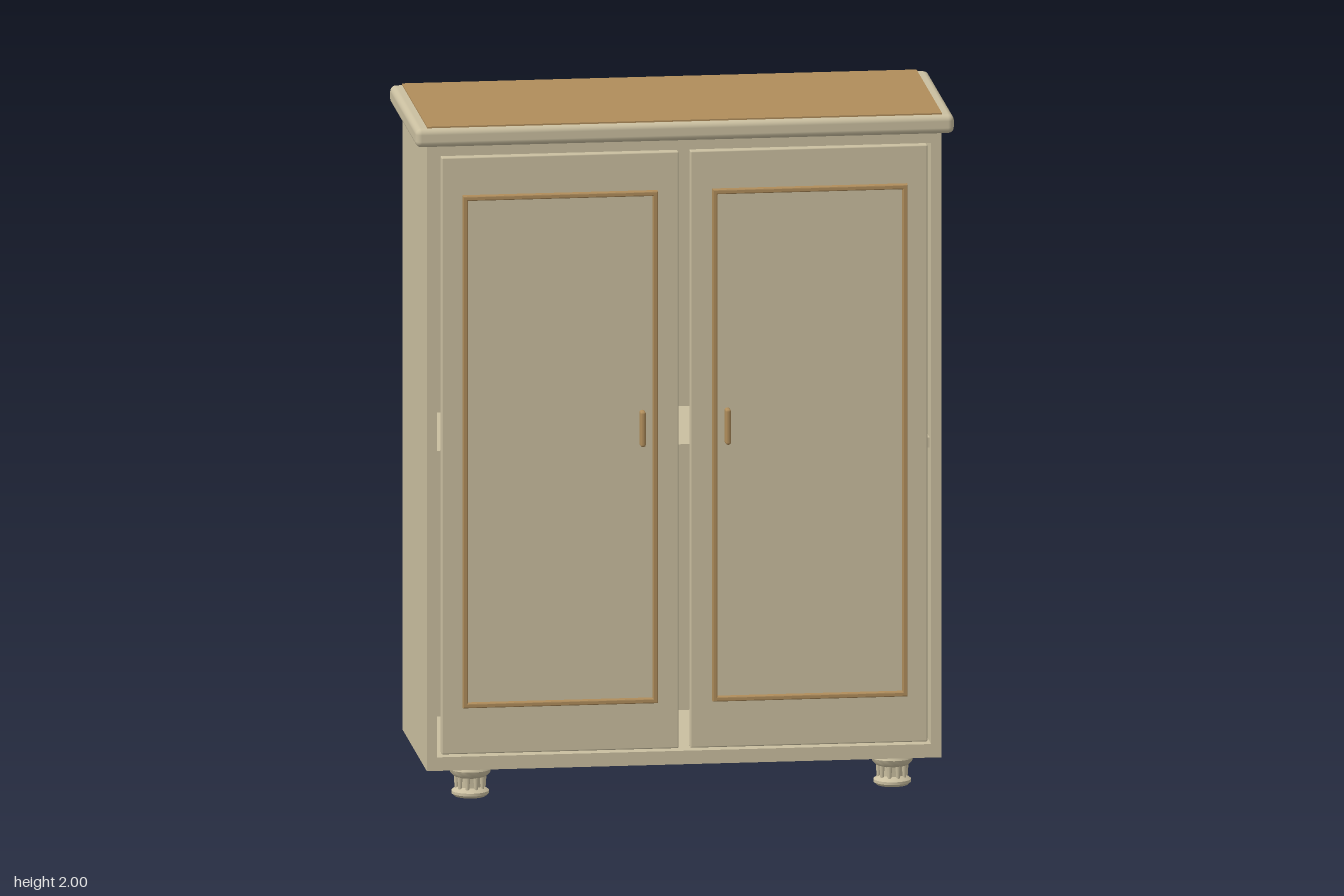
import * as THREE from 'three';
import { RoundedBoxGeometry } from 'three/addons/geometries/RoundedBoxGeometry.js';
import { toCreasedNormals } from 'three/addons/utils/BufferGeometryUtils.js';

export function createModel() {
  const cream = new THREE.MeshStandardMaterial({ color: 0xcabfa0 });
  cream.name = 'creamPaint';
  const wood = new THREE.MeshStandardMaterial({ color: 0xb08d5b });
  wood.name = 'warmWood';

  const root = new THREE.Group();
  root.name = 'cabinet';

  const add = (parent, name, geometry, material) => {
    const mesh = new THREE.Mesh(geometry, material);
    mesh.name = name;
    parent.add(mesh);
    return mesh;
  };
  // Box given by its limits on each axis, with optional rounded edges
  const block = (parent, name, material, [x0, x1], [y0, y1], [z0, z1], radius = 0) => {
    const size = [x1 - x0, y1 - y0, z1 - z0];
    const geometry = radius
      ? new RoundedBoxGeometry(...size, 3, radius)
      : new THREE.BoxGeometry(...size);
    const mesh = add(parent, name, geometry, material);
    mesh.position.set((x0 + x1) / 2, (y0 + y1) / 2, (z0 + z1) / 2);
    return mesh;
  };

  // Hollow carcass
  const carcass = new THREE.Group();
  carcass.name = 'carcass';
  root.add(carcass);
  const depth = [-0.29, 0.275];
  block(carcass, 'leftSide', cream, [0.72, 0.75], [0.13, 1.91], depth);
  block(carcass, 'rightSide', cream, [-0.75, -0.72], [0.13, 1.91], depth);
  block(carcass, 'bottomPanel', cream, [-0.75, 0.75], [0.09, 0.13], depth);
  block(carcass, 'topPanel', cream, [-0.75, 0.75], [1.91, 1.95], depth);
  block(carcass, 'backPanel', cream, [-0.72, 0.72], [0.13, 1.91], [-0.29, -0.27]);
  block(carcass, 'shelf', cream, [-0.72, 0.72], [1.0, 1.03], [-0.27, 0.24]);

  // Overhanging rounded cornice with a wooden top inlay
  block(root, 'cornice', cream, [-0.785, 0.785], [1.94, 1.996], [-0.315, 0.3], 0.018);
  block(root, 'topInlay', wood, [-0.75, 0.75], [1.992, 2.0], [-0.305, 0.285]);

  // Rectangular ring for the moulding on each door
  const rectangle = (target, w, h) => {
    target.moveTo(-w / 2, -h / 2);
    target.lineTo(w / 2, -h / 2);
    target.lineTo(w / 2, h / 2);
    target.lineTo(-w / 2, h / 2);
    target.closePath();
    return target;
  };
  const ring = rectangle(new THREE.Shape(), 0.562, 1.51);
  ring.holes.push(rectangle(new THREE.Path(), 0.546, 1.494));
  const mouldingGeometry = new THREE.ExtrudeGeometry(ring, {
    depth: 0.018, bevelThickness: 0.003, bevelSize: 0.003, bevelSegments: 2,
  });

  // Doors with moulding and handle
  for (const side of [-1, 1]) {
    const door = new THREE.Group();
    door.name = side > 0 ? 'leftDoor' : 'rightDoor';
    root.add(door);
    const span = (a, b) => (side > 0 ? [a, b] : [-b, -a]);
    block(door, 'doorPanel', cream, span(0.017, 0.708), [0.14, 1.907], [0.255, 0.286], 0.004);
    const moulding = add(door, 'doorMoulding', mouldingGeometry, wood);
    moulding.position.set(side * 0.364, 1.037, 0.284);
    block(door, 'handle', wood, span(0.116, 0.132), [1.04, 1.146], [0.282, 0.316], 0.007);
  }

  // Turned feet with ribs around the neck
  const profile = [
    [0, 0], [0.046, 0], [0.055, 0.008], [0.055, 0.016], [0.046, 0.023],
    [0.036, 0.028], [0.036, 0.056], [0.048, 0.06], [0.058, 0.07],
    [0.061, 0.08], [0.056, 0.091], [0, 0.091],
  ].map(([x, y]) => new THREE.Vector2(x, y));
  const footGeometry = toCreasedNormals(new THREE.LatheGeometry(profile, 24), 0.7);
  const ribGeometry = new THREE.CylinderGeometry(0.008, 0.005, 0.042, 8);
  for (const x of [-0.615, 0.615]) {
    for (const z of [-0.217, 0.205]) {
      const foot = new THREE.Group();
      foot.name = (z > 0 ? 'front' : 'back') + (x > 0 ? 'Left' : 'Right') + 'Foot';
      foot.position.set(x, 0, z);
      root.add(foot);
      add(foot, 'turnedFoot', footGeometry, cream);
      for (let i = 0; i < 10; i++) {
        const angle = (i / 10) * Math.PI * 2;
        const rib = add(foot, 'footRib', ribGeometry, cream);
        rib.position.set(Math.cos(angle) * 0.04, 0.042, Math.sin(angle) * 0.04);
      }
    }
  }
  return root;
}
